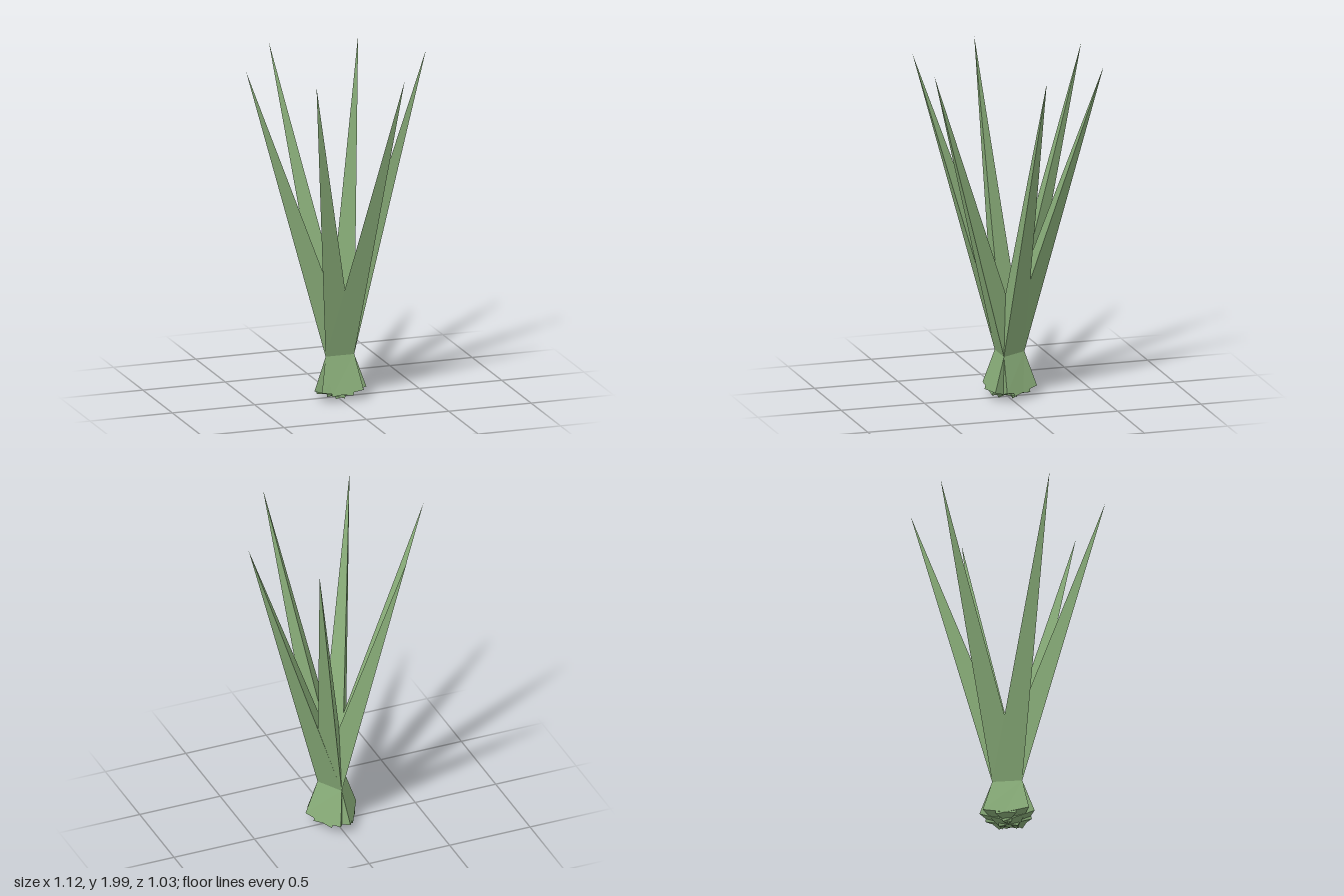
import * as THREE from 'three';

// Shared three-cornered outline, counter-clockwise from above
const CORNERS = [-Math.PI / 2, Math.PI * 5 / 6, Math.PI / 6].map(
  (a) => new THREE.Vector2(Math.cos(a), Math.sin(a)));

const WAIST_Y = 0.265, WAIST_R = 0.1;
const ROOT_Y = 0.037, ROOT_R = 0.112, ROOT_SHIFT = 0.067, TILT = 0.31;

// Leaf tips as [x, z], all ending at the same height
const TIPS = [
  [0.56, -0.055], [0.3, -0.48], [-0.23, -0.515],
  [-0.56, 0.022], [-0.295, 0.478], [0.228, 0.512],
];

// One spike: tilted root triangle, level narrow waist, long point
function leafGeometry([tx, tz]) {
  const dir = new THREE.Vector2(tx, tz).normalize();
  const tip = new THREE.Vector3(tx, 2, tz);
  const waist = CORNERS.map((c) => new THREE.Vector3(c.x * WAIST_R, WAIST_Y, c.y * WAIST_R));
  const root = CORNERS.map((c) => {
    const along = c.dot(dir) * ROOT_R;
    const shift = -ROOT_SHIFT - along * (1 - Math.cos(TILT));
    return new THREE.Vector3(
      c.x * ROOT_R + dir.x * shift,
      ROOT_Y - along * Math.sin(TILT),
      c.y * ROOT_R + dir.y * shift);
  });

  const points = [root[2], root[1], root[0]]; // underside
  for (let i = 0; i < 3; i++) {
    const j = (i + 1) % 3;
    points.push(root[i], root[j], waist[j], root[i], waist[j], waist[i]); // flared foot
    points.push(waist[i], waist[j], tip); // blade
  }
  const geometry = new THREE.BufferGeometry().setFromPoints(points);
  geometry.computeVertexNormals();
  return geometry;
}

export function createModel() {
  const plant = new THREE.Group();
  plant.name = 'spikyPlant';
  const green = new THREE.MeshStandardMaterial({ color: 0x88ac78, flatShading: true });
  TIPS.forEach((tip, i) => {
    const leaf = new THREE.Mesh(leafGeometry(tip), green);
    leaf.name = `leaf${i + 1}`;
    plant.add(leaf);
  });
  return plant;
}
